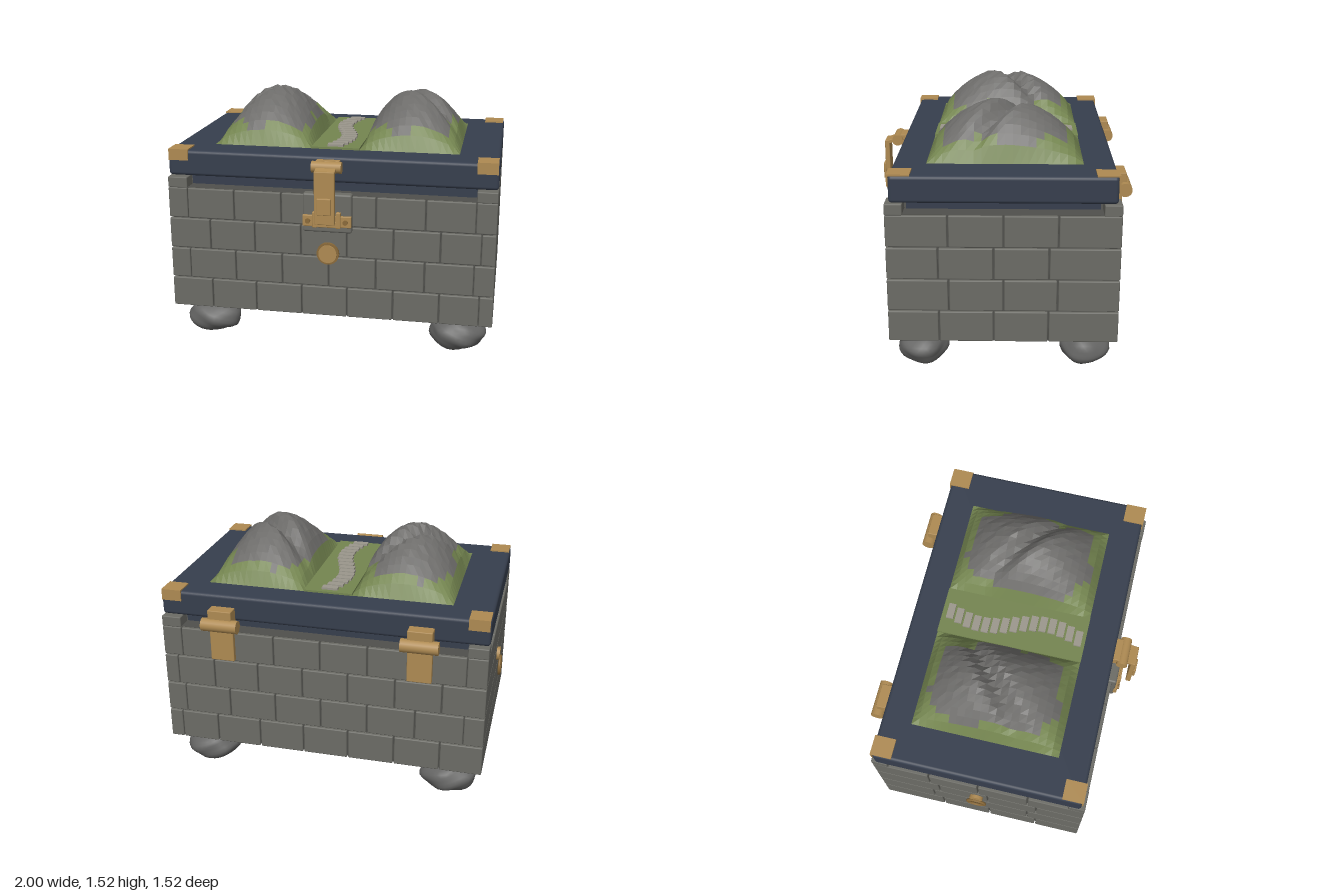
import * as THREE from 'three';
import { mergeVertices } from 'three/addons/utils/BufferGeometryUtils.js';
import { RoundedBoxGeometry } from 'three/addons/geometries/RoundedBoxGeometry.js';

const mat = (name, color, extra = {}) => {
  const m = new THREE.MeshStandardMaterial({ color, ...extra });
  m.name = name;
  return m;
};

export function createModel() {
  const stone = mat('brick stone', 0x6b6b65);
  const grout = mat('grout', 0x50504c);
  const footStone = mat('foot stone', 0x656564);
  const navy = mat('navy lid', 0x363e4d);
  const brass = mat('brass', 0xae8a52);
  const darkBrass = mat('dark brass', 0x8a6a3a);
  const grass = mat('grass', 0x748550, { flatShading: true });
  const rock = mat('mountain rock', 0x6d6c6a, { flatShading: true });
  const paving = mat('paving', 0x9b978c);

  const root = new THREE.Group();
  root.name = 'chest';
  const group = (name) => {
    const g = new THREE.Group();
    g.name = name;
    root.add(g);
    return g;
  };
  const add = (parent, name, geo, m, x = 0, y = 0, z = 0) => {
    const mesh = new THREE.Mesh(geo, m);
    mesh.name = name;
    mesh.position.set(x, y, z);
    parent.add(mesh);
    return mesh;
  };
  // Box given by its limits, with softened edges when r > 0
  const box = (parent, name, m, [x0, x1], [y0, y1], [z0, z1], r = 0, seg = 1) => {
    const s = [x1 - x0, y1 - y0, z1 - z0];
    const geo = r ? new RoundedBoxGeometry(...s, seg, r) : new THREE.BoxGeometry(...s);
    return add(parent, name, geo, m, (x0 + x1) / 2, (y0 + y1) / 2, (z0 + z1) / 2);
  };
  const cyl = (parent, name, m, r, len, axis, x, y, z, n = 20) => {
    const geo = new THREE.CylinderGeometry(r, r, len, n);
    if (axis === 'x') geo.rotateZ(Math.PI / 2);
    if (axis === 'z') geo.rotateX(Math.PI / 2);
    return add(parent, name, geo, m, x, y, z);
  };

  // Outer limits of the brick walls
  const X0 = -0.968, X1 = 0.998, Z0 = -0.677, Z1 = 0.63, CX = 0.015, CZ = -0.024;

  // Brick walls: four staggered courses around a grout core
  const walls = group('walls');
  box(walls, 'groutCore', grout, [X0 + 0.02, X1 - 0.02], [0.225, 0.985], [Z0 + 0.02, Z1 - 0.02]);
  box(walls, 'baseSlab', grout, [-0.885, 0.917], [0.187, 0.226], [-0.58, 0.535]);
  const frontJoints = [
    [-0.714, -0.436, -0.152, 0.126, 0.404, 0.68, 0.917],
    [-0.56, -0.27, 0.015, 0.3, 0.59, 0.88],
  ];
  const sideJoints = [[Z0, -0.28, 0.03, 0.34, Z1], [Z0, -0.33, -0.025, 0.283, Z1]];
  const gap = 0.004;
  for (let row = 0; row < 4; row++) {
    const k = row % 2, y0 = 0.222 + row * 0.1925, ys = [y0, y0 + 0.184];
    const xs = [k ? X0 + 0.117 : X0, ...frontJoints[k]];
    const zs = sideJoints[k];
    for (let i = 0; i < xs.length - 1; i++) {
      const span = [xs[i] + (i || k ? gap : 0), xs[i + 1] - gap];
      box(walls, 'frontBrick', stone, span, ys, [Z1 - 0.1, Z1], 0.006);
      box(walls, 'backBrick', stone, span, ys, [Z0, Z0 + 0.1], 0.006);
    }
    for (let i = 0; i < zs.length - 1; i++) {
      const span = [zs[i] + (i ? gap : 0), zs[i + 1] - (i < zs.length - 2 ? gap : 0)];
      box(walls, 'leftBrick', stone, [X1 - (k ? 0.117 : 0.08), X1], ys, span, 0.006);
      box(walls, 'rightBrick', stone, [X0, X0 + (k ? 0.117 : 0.08)], ys, span, 0.006);
    }
  }
  // Corner stones on the rim
  for (const x of [X0, X1 - 0.12])
    for (const z of [Z0, Z1 - 0.1])
      box(walls, 'cornerStone', stone, [x, x + 0.12], [0.985, 1.05], [z, z + 0.1], 0.006);

  // Boulder feet
  const footGeo = (seed) => {
    let g = new THREE.IcosahedronGeometry(1, 5);
    g.deleteAttribute('normal');
    g.deleteAttribute('uv');
    g = mergeVertices(g, 1e-4);
    const p = g.attributes.position, v = new THREE.Vector3();
    for (let i = 0; i < p.count; i++) {
      v.fromBufferAttribute(p, i);
      const n = Math.sin(v.x * 4 + seed) * Math.cos(v.z * 4.5 + seed * 2) + 0.6 * Math.sin(v.y * 6 + v.x * 5 + seed);
      v.multiplyScalar(0.97 + 0.055 * n);
      p.setXYZ(i, v.x * 0.176, v.y * 0.106, v.z * 0.15);
    }
    g.computeVertexNormals();
    return g;
  };
  const feet = group('feet');
  [[-1, 1], [1, 1], [-1, -1], [1, -1]].forEach(([sx, sz], i) =>
    add(feet, 'foot', footGeo(i * 1.7 + 0.5), footStone, CX + sx * 0.772, 0.106, CZ + sz * 0.48));

  // Lid slab with inner lip and brass corner plates
  const lid = group('lid');
  box(lid, 'lidLip', navy, [-0.85, 0.88], [0.96, 1.06], [-0.565, 0.52]);
  box(lid, 'lidSlab', navy, [X0, X1], [1.055, 1.21], [-0.652, 0.604], 0.02, 3);
  for (const x of [X0 + 0.006, X1 - 0.126]) {
    const xs = [x, x + 0.12];
    box(lid, 'cornerTopPlate', brass, xs, [1.209, 1.218], [0.484, 0.61]);
    box(lid, 'cornerTopPlate', brass, xs, [1.209, 1.218], [-0.658, -0.532]);
    box(lid, 'cornerFacePlate', brass, xs, [1.15, 1.218], [0.602, 0.611]);
    box(lid, 'cornerFacePlate', brass, xs, [1.15, 1.218], [-0.659, -0.65]);
  }

  // Twin-ridged mountain; u runs from the outer edge to the path, v from back to front
  const TZ0 = -0.473, TZ1 = 0.414, TY = 1.211;
  const height = (u, v) => {
    const env = Math.pow(Math.max(0, Math.sin(Math.PI * u)) * Math.max(0, Math.sin(Math.PI * v)), 0.66);
    // diagonal gully between the two summits
    const d = (u - 0.5) * 0.6 * 0.62 + (v - 0.475) * 0.887 * 0.79;
    const gully = 0.085 * Math.exp(-((d / 0.045) ** 2)) * env;
    return env * (0.306 + 0.06 * Math.max(-0.3, Math.min(0.12, d))) - gully
      + 0.006 * env * Math.sin(u * 37 + v * 11) * Math.cos(v * 41 - u * 9);
  };
  const mountain = (name, x0, x1, mirrored) => {
    const NX = 16, NZ = 20, faces = { grass: [], rock: [] };
    const pt = (i, j) => {
      const u = i / NX, v = j / NZ;
      return [x0 + (x1 - x0) * u, TY + height(mirrored ? 1 - u : u, v), TZ0 + (TZ1 - TZ0) * v];
    };
    for (let i = 0; i < NX; i++)
      for (let j = 0; j < NZ; j++) {
        const a = pt(i, j), b = pt(i, j + 1), c = pt(i + 1, j + 1), d = pt(i + 1, j);
        const mean = (a[1] + b[1] + c[1] + d[1]) / 4 - TY;
        const list = mean < 0.115 + 0.018 * Math.sin(i * 0.9 + j * 0.7) ? faces.grass : faces.rock;
        list.push(...a, ...b, ...c, ...a, ...c, ...d);
      }
    const g = group(name);
    for (const [part, m] of [['grass', grass], ['rock', rock]]) {
      const geo = new THREE.BufferGeometry();
      geo.setAttribute('position', new THREE.Float32BufferAttribute(faces[part], 3));
      geo.computeVertexNormals();
      add(g, part + 'Slope', geo, m);
    }
  };
  mountain('rightMountain', -0.73, -0.13, false);
  mountain('leftMountain', 0.163, 0.76, true);

  // Grassy valley with a winding paved path
  const valley = group('valley');
  box(valley, 'valleyFloor', grass, [-0.13, 0.163], [1.2, 1.222], [TZ0 - 0.002, TZ1 + 0.002]);
  for (let i = 0; i < 15; i++) {
    const x = 0.013 - 0.043 * Math.sin((i / 14) * Math.PI * 2), z = -0.423 + i * 0.0568;
    box(valley, 'pavingStone', paving, [x - 0.048, x + 0.048], [1.215, 1.235], [z - 0.022, z + 0.022]);
  }

  // Front latch: stone backing, staple and hinged hasp
  const latch = group('latch');
  const LX = 0.014;
  box(latch, 'backPlate', stone, [-0.132, 0.16], [0.765, 1.0], [0.6, 0.659], 0.012, 2);
  box(latch, 'staplePlate', brass, [-0.132, 0.16], [0.803, 0.872], [0.65, 0.674], 0.005);
  for (const s of [-1, 1]) {
    cyl(latch, 'stapleBolt', darkBrass, 0.015, 0.02, 'z', LX + s * 0.112, 0.838, 0.677, 12);
    box(latch, 'stapleCheek', brass, [LX + s * 0.07 - 0.014, LX + s * 0.07 + 0.014], [0.8, 0.895], [0.655, 0.686], 0.004);
  }
  box(latch, 'lidTab', brass, [LX - 0.07, LX + 0.07], [1.13, 1.195], [0.6, 0.645], 0.004);
  cyl(latch, 'haspBarrel', brass, 0.034, 0.176, 'x', LX, 1.163, 0.66);
  const arm = box(latch, 'haspArm', brass, [LX - 0.06, LX + 0.06], [1.138, 1.162], [0.665, 0.742], 0.004);
  arm.rotation.x = 0.3;
  box(latch, 'haspStrap', brass, [LX - 0.06, LX + 0.06], [0.838, 1.155], [0.715, 0.745], 0.005);
  box(latch, 'haspStud', brass, [LX - 0.042, LX + 0.042], [0.9, 1.0], [0.74, 0.761], 0.005);
  box(latch, 'stapleLoop', brass, [LX - 0.08, LX + 0.08], [0.803, 0.842], [0.655, 0.686], 0.005);

  // Round lock boss below the latch
  const boss = group('lockBoss');
  cyl(boss, 'bossRim', darkBrass, 0.068, 0.02, 'z', LX, 0.627, 0.637, 20);
  cyl(boss, 'bossFace', brass, 0.055, 0.032, 'z', LX, 0.627, 0.64, 20);

  // Back hinges
  for (const x of [-0.58, 0.61]) {
    const hinge = group('hinge');
    box(hinge, 'upperLeaf', brass, [x - 0.073, x + 0.073], [1.05, 1.138], [-0.725, -0.645], 0.005);
    cyl(hinge, 'hingeBarrel', brass, 0.04, 0.22, 'x', x, 1.045, -0.718);
    box(hinge, 'lowerLeaf', brass, [x - 0.073, x + 0.073], [0.81, 1.04], [-0.705, -0.67], 0.005);
  }

  // Hanging ring on the right wall
  const ring = group('sideRing');
  cyl(ring, 'ringBoss', brass, 0.042, 0.024, 'x', -0.976, 0.725, -0.04, 16);
  const hoop = new THREE.TorusGeometry(0.056, 0.009, 8, 24);
  hoop.rotateY(Math.PI / 2);
  add(ring, 'ringHoop', hoop, darkBrass, -0.991, 0.645, -0.04);

  return root;
}
